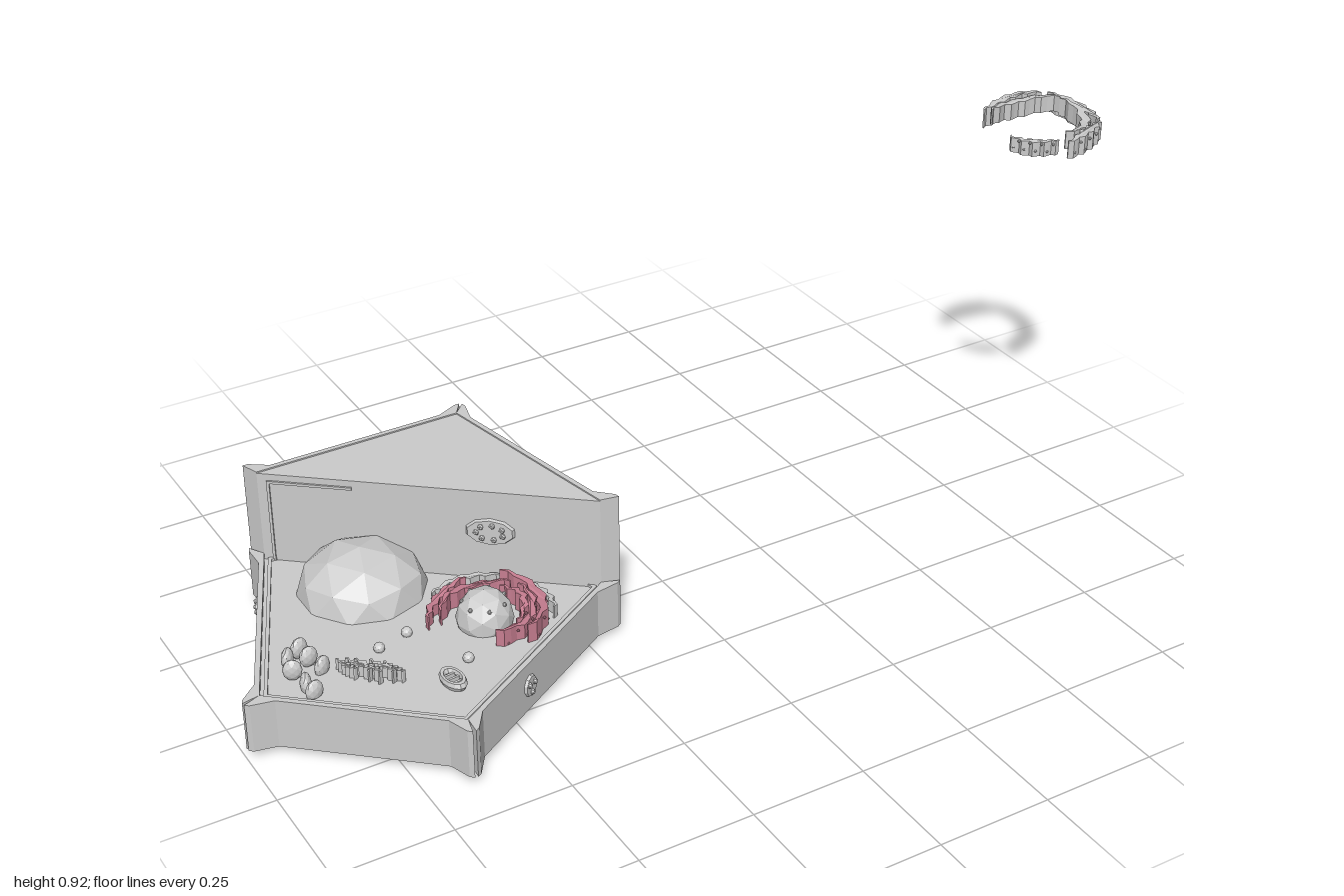
import * as THREE from 'three';

const grey = new THREE.MeshStandardMaterial({ color: 0xcccccc, flatShading: true, side: THREE.DoubleSide });
const pink = new THREE.MeshStandardMaterial({ color: 0xc87f92, flatShading: true, side: THREE.DoubleSide });

// plan corners (x, z) of the five-sided cell
const P = (x, z) => new THREE.Vector2(x, z);
const BL = P(-0.757, -0.358), BR = P(-0.297, -0.36), R = P(-0.205, 0.098), F = P(-0.648, 0.365), L = P(-0.958, 0.092);
const corners = [BL, BR, R, F, L];
const centre = P(-0.59, -0.01);

export function createModel() {
  const model = new THREE.Group();

  const add = (name, geo, pos = [0, 0, 0], mat = grey, parent = model) => {
    const m = new THREE.Mesh(geo, mat);
    m.name = name;
    m.position.set(...pos);
    parent.add(m);
    return m;
  };

  // upright prism over a plan outline
  const prism = (pts, y0, y1, hole) => {
    const flip = (a) => a.map((p) => P(p.x, -p.y));
    const s = new THREE.Shape(flip(pts));
    if (hole) s.holes.push(new THREE.Path(flip(hole)));
    return new THREE.ExtrudeGeometry(s, { depth: y1 - y0, bevelEnabled: false }).rotateX(-Math.PI / 2).translate(0, y0, 0);
  };
  const inset = (k) => corners.map((p) => p.clone().lerp(centre, k));
  const mix = (a, b, t) => a.clone().lerp(b, t);
  const along = (p, d, s) => p.clone().addScaledVector(d, s);

  // floor mass, membrane rim and raised rear block
  add('cytoplasm', prism(corners, 0.02, 0.116));
  add('membrane', prism(inset(0.025), 0.11, 0.122, inset(0.05)));
  add('rearBlock', prism([BL, BR, R], 0.02, 0.327));

  // walls whose ends turn outward into forked corners
  corners.forEach((a, i) => {
    const b = corners[(i + 1) % 5];
    const t = b.clone().sub(a).normalize();
    const n = P(t.y, -t.x);
    const ra = a.clone().sub(centre).normalize(), rb = b.clone().sub(centre).normalize();
    const tipA = along(a, ra, 0.042), tipB = along(b, rb, 0.042);
    const outline = [a, b, along(tipB, t, -0.004), along(tipB, t, -0.015),
      along(along(b, n, 0.011), t, -0.035), along(along(a, n, 0.011), t, 0.035),
      along(tipA, t, 0.015), along(tipA, t, 0.004)];
    add('wall', prism(outline, 0.02, i < 2 ? 0.33 : 0.13));
  });

  // thin membrane edging on the cut face of the rear block
  const d = R.clone().sub(BL).normalize(), out = P(-d.y, d.x);
  const strip = (s0, s1, y0, y1) => add('cutFaceMembrane', prism([
    along(BL, d, s0), along(BL, d, s1), along(along(BL, d, s1), out, 0.004), along(along(BL, d, s0), out, 0.004)], y0, y1));
  strip(0.02, 0.026, 0.116, 0.312);
  strip(0.02, 0.2, 0.306, 0.312);

  // oval disc with small bumps, fixed to a vertical face
  const disc = (name, p, y, n, w, h, bumps) => {
    const g = new THREE.Group();
    g.name = name;
    g.position.set(p.x, y, p.y);
    g.rotation.y = Math.atan2(n.x, n.y);
    add('disc', new THREE.CylinderGeometry(0.85, 1, 0.012, 10).rotateX(Math.PI / 2).scale(w, h, 1), [0, 0, 0], grey, g);
    for (let i = 0; i < bumps; i++) {
      const a = (i / bumps) * Math.PI * 2 + 0.5;
      add('bump', new THREE.IcosahedronGeometry(0.007, 0), [Math.cos(a) * w * 0.5, Math.sin(a) * h * 0.5, 0.006], grey, g);
    }
    model.add(g);
  };
  [[F, R, 0.4], [BL, BR, 0.22], [L, BL, 0.76]].forEach(([a, b, t]) => {
    const q = mix(a, b, t), s = b.clone().sub(a).normalize();
    let n = P(s.y, -s.x);
    if (n.dot(q.clone().sub(centre)) < 0) n.negate();
    disc('wallChannel', along(q, n, 0.011), 0.077, n, 0.022, 0.027, 3);
  });
  disc('faceOrganelle', mix(BL, R, 0.68), 0.232, out, 0.058, 0.034, 7);

  // large faceted vacuole, poking through the underside
  add('vacuole', new THREE.IcosahedronGeometry(1, 1).rotateZ(Math.atan(0.618)).scale(0.138, 0.106, 0.14), [-0.625, 0.108, -0.16]);

  // nucleus with pores
  add('nucleus', new THREE.IcosahedronGeometry(1, 1).scale(0.06, 0.065, 0.06), [-0.465, 0.128, 0.08]);
  for (let i = 0; i < 7; i++) {
    const a = i * 0.9;
    add('pore', new THREE.IcosahedronGeometry(0.005, 0), [-0.465 + Math.cos(a) * 0.045, 0.168, 0.08 + Math.sin(a) * 0.045]);
  }

  // tapering, wavy crescent plate
  const crescent = (r, a0, a1, w, y0, y1) => {
    const o = [], inn = [], N = 14;
    for (let i = 0; i <= N; i++) {
      const t = i / N, a = a0 + (a1 - a0) * t;
      const ro = r + 0.004 * Math.sin(i * 2.1), ri = ro - 0.003 - w * Math.sin(Math.PI * t);
      o.push(P(Math.cos(a) * ro, Math.sin(a) * ro));
      inn.unshift(P(Math.cos(a) * ri, Math.sin(a) * ri));
    }
    const g = prism([...o, ...inn], y0, y1);
    const p = g.attributes.position;
    for (let i = 0; i < p.count; i++) {
      const a = Math.atan2(p.getZ(i), p.getX(i));
      p.setY(i, p.getY(i) + 0.005 * Math.sin(a * 3 + r * 90));
    }
    g.computeVertexNormals();
    return g;
  };
  const folds = (name, pos, mat, list, dots) => {
    const g = new THREE.Group();
    g.name = name;
    g.position.set(...pos);
    list.forEach(([r, a0, a1, w, y0, y1]) => {
      add('fold', crescent(r, a0, a1, w, y0, y1), [0, 0, 0], mat, g);
      for (let i = 1; i < dots; i++) {
        const a = a0 + ((a1 - a0) * i) / dots;
        add('granule', new THREE.IcosahedronGeometry(0.0035, 0),
          [Math.cos(a) * r, y0 + (y1 - y0) * (0.25 + 0.5 * (i % 2)), Math.sin(a) * r], mat, g);
      }
    });
    model.add(g);
  };
  // folded membranes round the nucleus
  folds('innerFolds', [-0.455, 0.11, 0.08], pink, [
    [0.125, -2.9, -1.5, 0.014, 0, 0.035], [0.118, -0.9, 1.3, 0.016, 0, 0.045],
    [0.098, -2.8, -0.6, 0.012, 0, 0.04], [0.095, -0.4, 1.9, 0.012, 0, 0.04],
    [0.078, -0.8, 1.2, 0.01, 0, 0.045]], 9);
  folds('outerFolds', [-0.455, 0.11, 0.08], grey, [
    [0.14, -2.1, -0.9, 0.012, 0, 0.025], [0.135, -0.6, 0.5, 0.01, 0, 0.03]], 7);
  // detached set of folds floating to the side
  folds('floatingFolds', [0.88, 0.873, 0.08], grey, [
    [0.126, -2.2, -0.9, 0.016, 0, 0.043], [0.118, -0.8, 0.75, 0.018, 0.002, 0.046],
    [0.105, -2.4, -0.5, 0.014, 0.01, 0.046], [0.122, 0.7, 1.75, 0.018, 0, 0.04],
    [0.1, -0.5, 1.7, 0.016, 0.004, 0.044], [0.108, 1.9, 2.9, 0.012, 0.004, 0.036]], 9);

  // stack of curved plates
  for (let i = 0; i < 5; i++) {
    const r = 0.055 + 0.004 * (i % 2), span = 0.75 - 0.1 * Math.abs(i - 2);
    const m = add('stackPlate', crescent(r, -span, span, 0.009, 0, 0.03), [-0.822 + i * 0.019, 0.112, 0.115 + i * 0.014]);
    m.rotation.y = 0.35;
  }

  // small bean-like organelles near the left corner
  [[-0.868, 0.02, 0.9], [-0.835, 0.0, 0.3], [-0.83, 0.035, 0.1], [-0.875, 0.06, -0.4], [-0.815, 0.065, 0.5],
    [-0.865, 0.1, 1.2], [-0.86, 0.13, 0.2]].forEach(([x, z, turn], i) => {
    add('bean', new THREE.IcosahedronGeometry(1, 1).scale(0.02, 0.024, 0.012), [x, i < 4 ? 0.138 : 0.128, z]).rotation.y = turn;
  });

  // oval organelle with raised rim and inner ridge
  const oval = new THREE.Group();
  oval.name = 'ovalOrganelle';
  oval.position.set(-0.613, 0.12, 0.232);
  oval.rotation.y = 0.1;
  add('rim', new THREE.TorusGeometry(0.024, 0.007, 6, 14).rotateX(Math.PI / 2).scale(0.75, 1.4, 1.25), [0, 0.006, 0], grey, oval);
  for (let i = -1; i <= 1; i++) add('ridge', new THREE.BoxGeometry(0.026, 0.01, 0.005), [0, 0.004, i * 0.014], grey, oval);
  model.add(oval);

  // loose vesicles
  [[-0.62, 0.04], [-0.553, 0.18], [-0.69, 0.06]].forEach(([x, z]) =>
    add('vesicle', new THREE.IcosahedronGeometry(0.012, 1), [x, 0.122, z]));

  return model;
}
